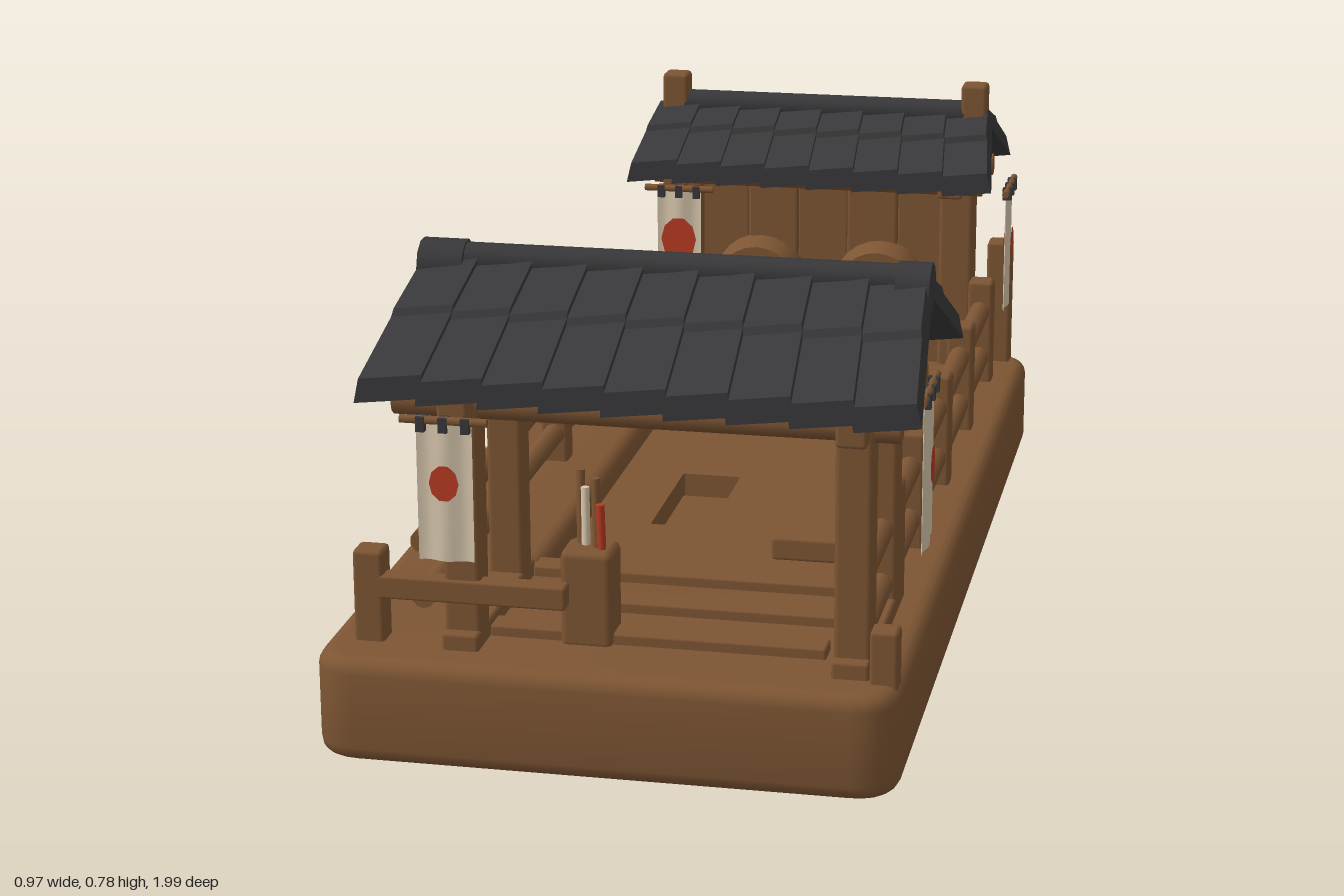
import * as THREE from 'three';
import { toCreasedNormals } from 'three/addons/utils/BufferGeometryUtils.js';
import { RoundedBoxGeometry } from 'three/addons/geometries/RoundedBoxGeometry.js';

const mat = (name, color, side = THREE.FrontSide) => {
  const m = new THREE.MeshStandardMaterial({ color, side });
  m.name = name;
  return m;
};

export function createModel() {
  const wood = mat('brown wood', 0x7d5533);
  const tile = mat('charcoal tile', 0x38383a);
  const cloth = mat('cream cloth', 0xd8c7ad, THREE.DoubleSide);
  const red = mat('red paint', 0xb93a24, THREE.DoubleSide);
  const root = new THREE.Group();

  const add = (name, geo, m, x = 0, y = 0, z = 0, parent = root) => {
    const mesh = new THREE.Mesh(geo, m);
    mesh.name = name;
    mesh.position.set(x, y, z);
    parent.add(mesh);
    return mesh;
  };
  // Softened timber given by its min and max corners
  const block = (name, x0, x1, y0, y1, z0, z1, m = wood) => {
    const s = [x1 - x0, y1 - y0, z1 - z0];
    return add(name, new RoundedBoxGeometry(...s, 1, Math.min(...s) * 0.15), m,
      (x0 + x1) / 2, (y0 + y1) / 2, (z0 + z1) / 2);
  };
  const post = (name, x, z, y0, y1, w = 0.05) =>
    block(name, x - w / 2, x + w / 2, y0, y1, z - w / 2, z + w / 2);
  // Round bar between two points
  const bar = (name, a, b, r, m = wood) => {
    const p = new THREE.Vector3(...a), d = new THREE.Vector3(...b).sub(p);
    const mesh = add(name, new THREE.CylinderGeometry(r, r, d.length(), 10), m);
    mesh.position.copy(p).addScaledVector(d, 0.5);
    mesh.quaternion.setFromUnitVectors(new THREE.Vector3(0, 1, 0), d.normalize());
    return mesh;
  };
  // Rounded rectangle in plan
  const plan = (x0, x1, z0, z1, r, T = THREE.Shape) => {
    const s = new T();
    s.moveTo(x0 + r, -z1);
    s.lineTo(x1 - r, -z1); s.quadraticCurveTo(x1, -z1, x1, -z1 + r);
    s.lineTo(x1, -z0 - r); s.quadraticCurveTo(x1, -z0, x1 - r, -z0);
    s.lineTo(x0 + r, -z0); s.quadraticCurveTo(x0, -z0, x0, -z0 - r);
    s.lineTo(x0, -z1 + r); s.quadraticCurveTo(x0, -z1, x0 + r, -z1);
    return s;
  };

  // Barge-like platform with a sunken deck and a hatch
  const hull = plan(-0.455, 0.44, -0.895, 0.97, 0.05);
  hull.holes.push(plan(-0.25, 0.3, -0.66, 0.5, 0.01, THREE.Path));
  const hullGeo = new THREE.ExtrudeGeometry(hull, {
    depth: 0.125, bevelThickness: 0.025, bevelSize: 0.025, bevelSegments: 4, curveSegments: 5 });
  hullGeo.rotateX(-Math.PI / 2).translate(0, 0.027, 0);
  add('platform', toCreasedNormals(hullGeo, 0.6), wood);
  const deck = plan(-0.27, 0.32, -0.68, 0.52, 0.01);
  deck.holes.push(plan(-0.11, 0, -0.15, 0.14, 0.005, THREE.Path));
  const deckGeo = new THREE.ExtrudeGeometry(deck, { depth: 0.06, bevelEnabled: false });
  add('sunkenDeck', deckGeo.rotateX(-Math.PI / 2), wood, 0, 0.07, 0);
  add('platformBottom', new THREE.BoxGeometry(0.62, 0.085, 1.23), wood, 0.025, 0.0435, -0.08);

  // Side railings
  for (const x of [-0.335, 0.385]) {
    for (const z of [0.55, 0.28, -0.065, -0.4, -0.725]) post('railingPost', x, z, 0.16, 0.385);
    for (const y of [0.23, 0.325]) bar('sideRail', [x, y, 0.83], [x, y, -0.76], 0.02);
  }
  // Front rail and corner posts
  post('cornerPost', -0.405, 0.88, 0.16, 0.33);
  post('cornerPost', 0.435, 0.91, 0.16, 0.265, 0.045);
  post('cornerPost', 0.405, -0.875, 0.16, 0.43);
  post('cornerPost', -0.345, -0.86, 0.16, 0.3);
  block('frontRail', -0.4, -0.08, 0.25, 0.29, 0.87, 0.905);
  block('innerRail', 0.2, 0.37, 0.255, 0.295, 0.58, 0.62);
  for (const z of [0.54, 0.68, 0.82]) block('floorJoist', -0.22, 0.33, 0.165, 0.195, z - 0.025, z + 0.025);

  // Tiled gable roof: overlapping columns following one cross-section
  function roof(name, x0, x1, zf, zr, zb, eave, peak, columns) {
    const g = new THREE.Group();
    g.name = name;
    root.add(g);
    const h = peak - eave, t = 0.04;
    const at = (z, f, dy = 0) => [zr + (z - zr) * f, peak - h * (1.22 * f - 0.22 * f * f) + dy];
    const pts = [at(zf, 1, -t), at(zf, 1), at(zf, 0.52, 0.008), at(zf, 0.5, 0.018), [zr, peak],
      at(zb, 0.5, 0.018), at(zb, 0.52, 0.008), at(zb, 1), at(zb, 1, -t), [zr, peak - t]];
    const section = new THREE.Shape(pts.map(p => new THREE.Vector2(...p)));
    const w = (x1 - x0) / columns, mid = (x0 + x1) / 2;
    for (let i = 0; i < columns; i++) {
      const geo = new THREE.ExtrudeGeometry(section, { depth: w * 1.06, bevelEnabled: false });
      geo.rotateY(-Math.PI / 2).translate(w * 0.53, 0, 0);
      const p = geo.attributes.position, cx = x0 + w * (i + 0.5);
      for (let k = 0; k < p.count; k++) {
        const up = (p.getY(k) - eave) / h, x = p.getX(k);
        // Lap each column over the next and draw the ridge in a little
        p.setY(k, p.getY(k) + x * 0.12);
        p.setX(k, mid + (cx + x - mid) * (1 - 0.06 * up));
      }
      geo.computeVertexNormals();
      add('tileColumn', geo, tile, 0, 0, 0, g);
    }
    // Timber gable filling under the tiles
    const fill = new THREE.Shape([[zf - 0.06, eave - 0.03], [zr, peak - t - 0.005], [zb + 0.06, eave - 0.03]]
      .map(p => new THREE.Vector2(...p)));
    const fillGeo = new THREE.ExtrudeGeometry(fill, { depth: x1 - x0 - 0.09, bevelEnabled: false });
    add('gable', fillGeo.rotateY(-Math.PI / 2), wood, x1 - 0.045, 0, 0, g);
  }

  // Hanging banner; angle turns its face from +z toward +x
  function banner(x, z, y0, y1, w, angle, spotY, spotR) {
    const g = new THREE.Group();
    g.name = 'banner';
    g.position.set(x, 0, z);
    g.rotation.y = angle;
    root.add(g);
    const geo = new THREE.PlaneGeometry(w, y1 - y0, 8, 4);
    const p = geo.attributes.position;
    for (let i = 0; i < p.count; i++) p.setZ(i, 0.004 * Math.cos(p.getX(i) / w * 9));
    geo.computeVertexNormals();
    add('cloth', geo, cloth, 0, (y0 + y1) / 2, 0, g);
    for (const s of [-1, 1]) {
      const spot = add('spot', new THREE.CircleGeometry(spotR, 10), red, 0, spotY, s * 0.007, g);
      spot.scale.y = 1.25;
    }
    const rod = add('rod', new THREE.CylinderGeometry(0.007, 0.007, w + 0.05, 8), wood, 0, y1 + 0.004, 0, g);
    rod.rotation.z = Math.PI / 2;
    for (const k of [-0.4, 0, 0.4])
      add('tie', new THREE.BoxGeometry(0.014, 0.024, 0.018), tile, k * w, y1 - 0.002, 0, g);
  }

  // Front pavilion
  for (const x of [-0.25, 0.38]) {
    for (const z of [0.87, 0.6]) post('pavilionPost', x, z, 0.16, 0.59, 0.06);
    block('crossBeam', x - 0.025, x + 0.025, 0.56, 0.605, 0.5, 0.935);
    block('sill', x - 0.03, x + 0.03, 0.165, 0.205, 0.55, 0.92);
  }
  for (const z of [0.87, 0.6]) bar('longBeam', [-0.36, 0.58, z], [0.45, 0.58, z], 0.026);
  roof('frontRoof', -0.39, 0.48, 0.955, 0.66, 0.455, 0.64, 0.765, 9);
  bar('frontRidge', [-0.35, 0.757, 0.66], [0.44, 0.757, 0.66], 0.026, tile);
  for (const [a, b] of [[-0.37, -0.295], [0.41, 0.465]])
    bar('ridgeCap', [a, 0.745, 0.66], [b, 0.745, 0.66], 0.042, tile);
  banner(-0.255, 0.962, 0.345, 0.572, 0.09, 0, 0.475, 0.024);
  banner(0.463, 0.65, 0.31, 0.572, 0.12, Math.PI / 2, 0.45, 0.026);

  // Box of sticks under the front roof
  block('stickBox', -0.1, -0.015, 0.17, 0.335, 0.78, 0.86);
  [[-0.075, 0.455, wood], [-0.065, 0.43, cloth], [-0.045, 0.45, wood], [-0.035, 0.41, red]]
    .forEach(([x, y, m], i) => bar('stick', [x, 0.32, 0.81 + i * 0.008], [x - 0.002, y, 0.8 + i * 0.012], 0.007, m));

  // Rear pavilion with a plank wall
  for (const x of [-0.24, 0.32]) {
    post('rearPost', x, -0.84, 0.16, 0.6, 0.07);
    block('rearCrossBeam', x - 0.025, x + 0.025, 0.555, 0.6, -0.97, -0.69);
  }
  for (let i = 0; i < 5; i++) {
    const x = -0.215 + i * 0.103, d = 0.02 + 0.006 * (i % 2);
    block('wallPlank', x, x + 0.105, 0.16, 0.58, -0.84 - d, -0.84 + d);
  }
  for (const z of [-0.74, -0.93]) bar('rearLongBeam', [-0.29, 0.575, z], [0.38, 0.575, z], 0.022);
  roof('rearRoof', -0.32, 0.395, -0.657, -0.84, -0.998, 0.615, 0.705, 8);
  bar('rearRidge', [-0.28, 0.7, -0.84], [0.37, 0.7, -0.84], 0.026, tile);
  for (const x of [-0.265, 0.35]) post('ridgePost', x, -0.84, 0.66, 0.762, 0.052);
  banner(0.425, -0.835, 0.305, 0.55, 0.11, Math.PI / 2, 0.435, 0.028);
  banner(-0.23, -0.685, 0.34, 0.55, 0.09, 0, 0.45, 0.036);

  // Barrel drums set through the wall, painted on both faces
  const barrel = [[0, -0.075], [0.084, -0.075], [0.095, -0.04], [0.098, 0], [0.095, 0.04], [0.084, 0.075], [0, 0.075]]
    .map(p => new THREE.Vector2(...p));
  const drumGeo = toCreasedNormals(new THREE.LatheGeometry(barrel, 24).rotateX(Math.PI / 2), 0.7);
  for (const x of [-0.085, 0.165]) {
    add('drum', drumGeo, wood, x, 0.335, -0.835);
    for (const s of [-1, 1]) {
      add('drumRing', new THREE.RingGeometry(0.035, 0.062, 20), red, x, 0.335, -0.835 + s * 0.078);
      for (const k of [-1, 1])
        bar('drumLeg', [x + k * 0.085, 0.165, -0.835 + s * 0.06], [x + k * 0.05, 0.27, -0.835 + s * 0.05], 0.015);
    }
  }
  return root;
}
